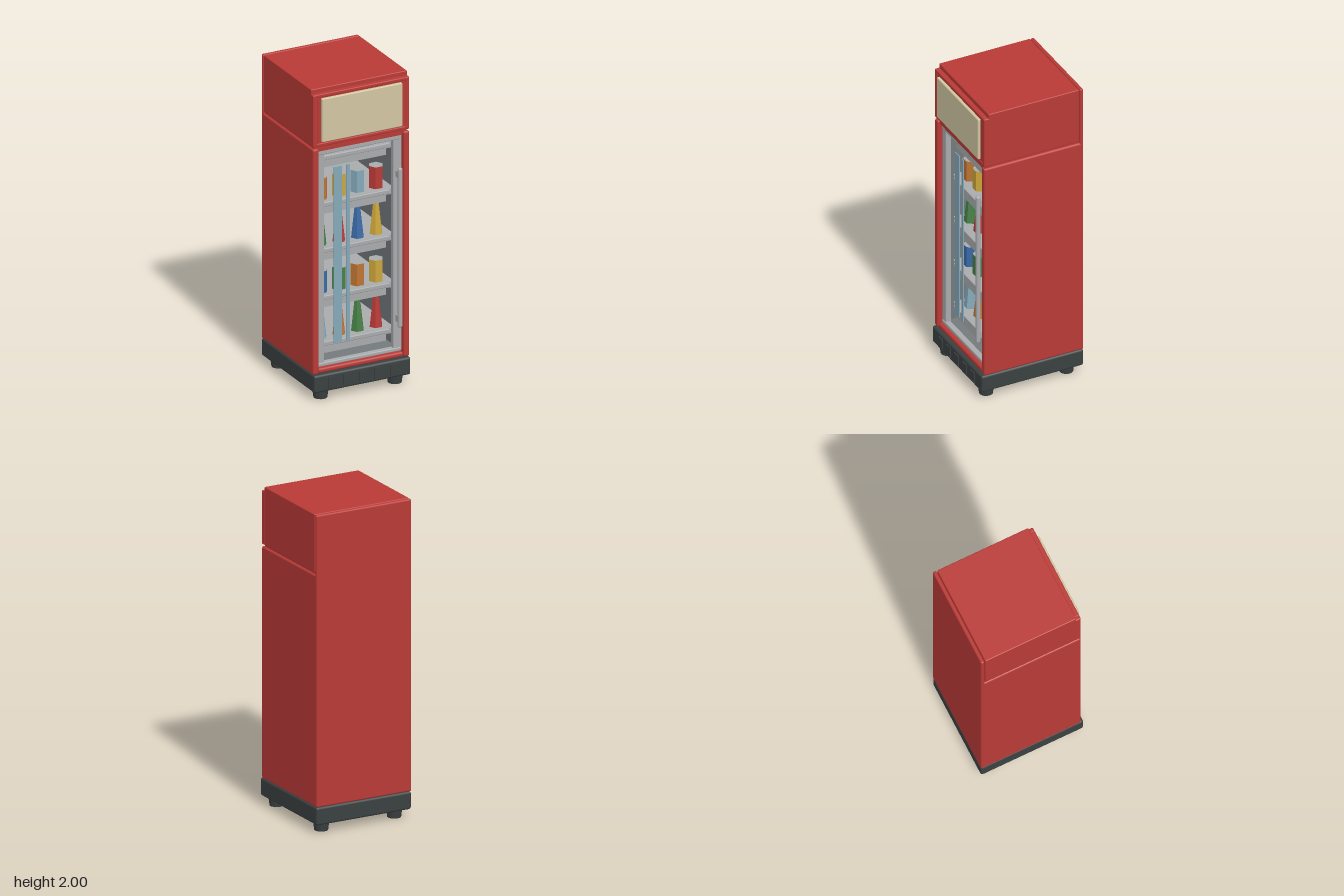
import * as THREE from 'three';
import { RoundedBoxGeometry } from 'three/addons/geometries/RoundedBoxGeometry.js';

const mat = (name, color, flatShading = false) => {
  const m = new THREE.MeshStandardMaterial({ color, flatShading });
  m.name = name;
  return m;
};

export function createModel() {
  const red = mat('red', 0xb93a36);
  const cream = mat('cream', 0xd2c6a2);
  const metal = mat('light grey', 0xa9abad);
  const dark = mat('charcoal', 0x3a4041);
  const liner = mat('liner grey', 0x747a7d);
  const blue = mat('blue', 0x3a6ba8, true);
  const green = mat('green', 0x478046, true);
  const orange = mat('orange', 0xbd7433, true);
  const yellow = mat('yellow', 0xcba63a, true);
  const pale = mat('pale blue', 0x85a9b9, true);

  const model = new THREE.Group();
  model.name = 'displayFridge';

  const add = (name, geometry, material, x = 0, y = 0, z = 0, parent = model) => {
    const mesh = new THREE.Mesh(geometry, material);
    mesh.name = name;
    mesh.position.set(x, y, z);
    parent.add(mesh);
    return mesh;
  };
  // Box given by its limits on each axis, with an optional rounded edge
  const box = (name, material, [x0, x1], [y0, y1], [z0, z1], r = 0, parent = model) => {
    const size = [x1 - x0, y1 - y0, z1 - z0];
    const g = r ? new RoundedBoxGeometry(...size, 2, r) : new THREE.BoxGeometry(...size);
    return add(name, g, material, (x0 + x1) / 2, (y0 + y1) / 2, (z0 + z1) / 2, parent);
  };

  // Base with front vent ribs and four feet
  box('base', dark, [-0.325, 0.325], [0.055, 0.168], [-0.343, 0.338], 0.014);
  for (let i = -2; i <= 2; i++) {
    const x = i * 0.104;
    box('ventRib', dark, [x - 0.025, x + 0.025], [0.075, 0.145], [0.33, 0.345]);
  }
  for (const x of [-0.25, 0.25]) {
    for (const z of [-0.265, 0.272]) {
      add('foot', new THREE.CylinderGeometry(0.05, 0.042, 0.06, 16), dark, x, 0.03, z);
    }
  }

  // Cabinet shell
  for (const s of [-1, 1]) {
    const xs = [s * 0.285, s * 0.325].sort((a, b) => a - b);
    box('sideWall', red, xs, [0.168, 1.622], [-0.335, 0.322], 0.012);
    const ls = [s * 0.28, s * 0.286].sort((a, b) => a - b);
    box('sideLiner', liner, ls, [0.2, 1.6], [-0.3, 0.27]);
  }
  box('backPanel', red, [-0.325, 0.325], [0.168, 2], [-0.343, -0.318], 0.01);
  box('backLiner', liner, [-0.285, 0.285], [0.2, 1.6], [-0.318, -0.295]);
  box('cabinetFloor', red, [-0.287, 0.287], [0.168, 0.2], [-0.32, 0.29]);
  box('cabinetRoof', red, [-0.287, 0.287], [1.598, 1.622], [-0.32, 0.305]);
  box('floorLiner', liner, [-0.282, 0.282], [0.199, 0.205], [-0.298, 0.27]);
  box('roofLiner', liner, [-0.282, 0.282], [1.592, 1.599], [-0.298, 0.27]);
  box('lowerTrim', red, [-0.285, 0.285], [0.17, 0.202], [0.28, 0.318], 0.012);

  // Header box, its front frame and the blank sign
  box('headerNeck', red, [-0.312, 0.312], [1.61, 1.65], [-0.32, 0.305]);
  box('headerBox', red, [-0.323, 0.323], [1.635, 2], [-0.314, 0.292], 0.006);
  box('headerFront', red, [-0.296, 0.296], [1.636, 1.97], [0.28, 0.318]);
  for (const s of [-1, 1]) {
    const xs = [s * 0.294, s * 0.324].sort((a, b) => a - b);
    box('headerPost', red, xs, [1.634, 1.972], [0.28, 0.322], 0.008);
  }
  for (const y of [1.634, 1.95]) {
    box('headerRail', red, [-0.3, 0.3], [y, y + 0.022], [0.28, 0.322], 0.006);
  }
  box('signPanel', cream, [-0.27, 0.27], [1.665, 1.945], [0.31, 0.336], 0.006);

  // Door frame and handle
  const door = new THREE.Group();
  door.name = 'door';
  model.add(door);
  box('doorStile', metal, [-0.286, -0.234], [0.202, 1.6], [0.255, 0.292], 0.006, door);
  box('doorStile', metal, [0.23, 0.286], [0.202, 1.6], [0.255, 0.292], 0.006, door);
  box('doorRail', metal, [-0.28, 0.28], [1.567, 1.6], [0.258, 0.296], 0.006, door);
  box('doorRail', metal, [-0.28, 0.28], [0.202, 0.226], [0.258, 0.296], 0.006, door);
  box('handleBar', metal, [0.24, 0.27], [0.37, 1.4], [0.315, 0.343], 0.012, door);
  for (const y of [0.42, 1.35]) {
    box('handleMount', metal, [0.245, 0.265], [y - 0.02, y + 0.02], [0.285, 0.325], 0, door);
  }
  // Reflection strips where the glass sits
  box('reflectionStrip', pale, [-0.157, -0.104], [0.325, 1.46], [0.264, 0.27], 0, door);
  box('reflectionStrip', pale, [-0.074, -0.051], [0.325, 1.46], [0.264, 0.27], 0, door);

  // Six-sided goods: cans with grey lids and tapered bottles
  const hex = (top, bottom, height) =>
    new THREE.CylinderGeometry(top, bottom, height, 6).rotateY(Math.PI / 6).translate(0, height / 2, 0);
  const can = hex(0.046, 0.046, 0.14);
  const shortCan = hex(0.046, 0.046, 0.065);
  const bottle = hex(0.016, 0.042, 0.218);

  // Shelves from bottom to top, each with four goods
  const rows = [
    [0.328, bottle, [pale, orange, green, red]],
    [0.624, can, [blue, green, orange, yellow]],
    [0.928, bottle, [green, red, blue, yellow]],
    [1.226, can, [orange, yellow, pale, red]],
    [1.526, shortCan, [blue, yellow, pale, orange]],
  ];
  const redGoods = mat('red', 0xb93a36, true);
  redGoods.color = red.color;
  for (const [y, shape, colours] of rows) {
    const shelf = new THREE.Group();
    shelf.name = 'shelf';
    model.add(shelf);
    box('shelfBoard', metal, [-0.275, 0.275], [y - 0.018, y], [-0.295, 0.22], 0, shelf);
    box('shelfLip', metal, [-0.235, 0.235], [y - 0.024, y + 0.004], [0.215, 0.24], 0.005, shelf);
    box('priceRail', metal, [-0.21, 0.21], [y - 0.07, y - 0.022], [0.215, 0.234], 0, shelf);
    for (const x of [-0.25, 0.25]) {
      box('shelfBracket', metal, [x - 0.03, x + 0.03], [y - 0.045, y - 0.018], [-0.28, 0.2], 0, shelf);
    }
    colours.forEach((c, i) => {
      const m = c === red ? redGoods : c;
      const isBottle = shape === bottle;
      add(isBottle ? 'bottle' : 'can', shape, isBottle ? m : [m, metal, metal],
        -0.188 + i * 0.125, y, 0.15, shelf);
    });
  }
  return model;
}
